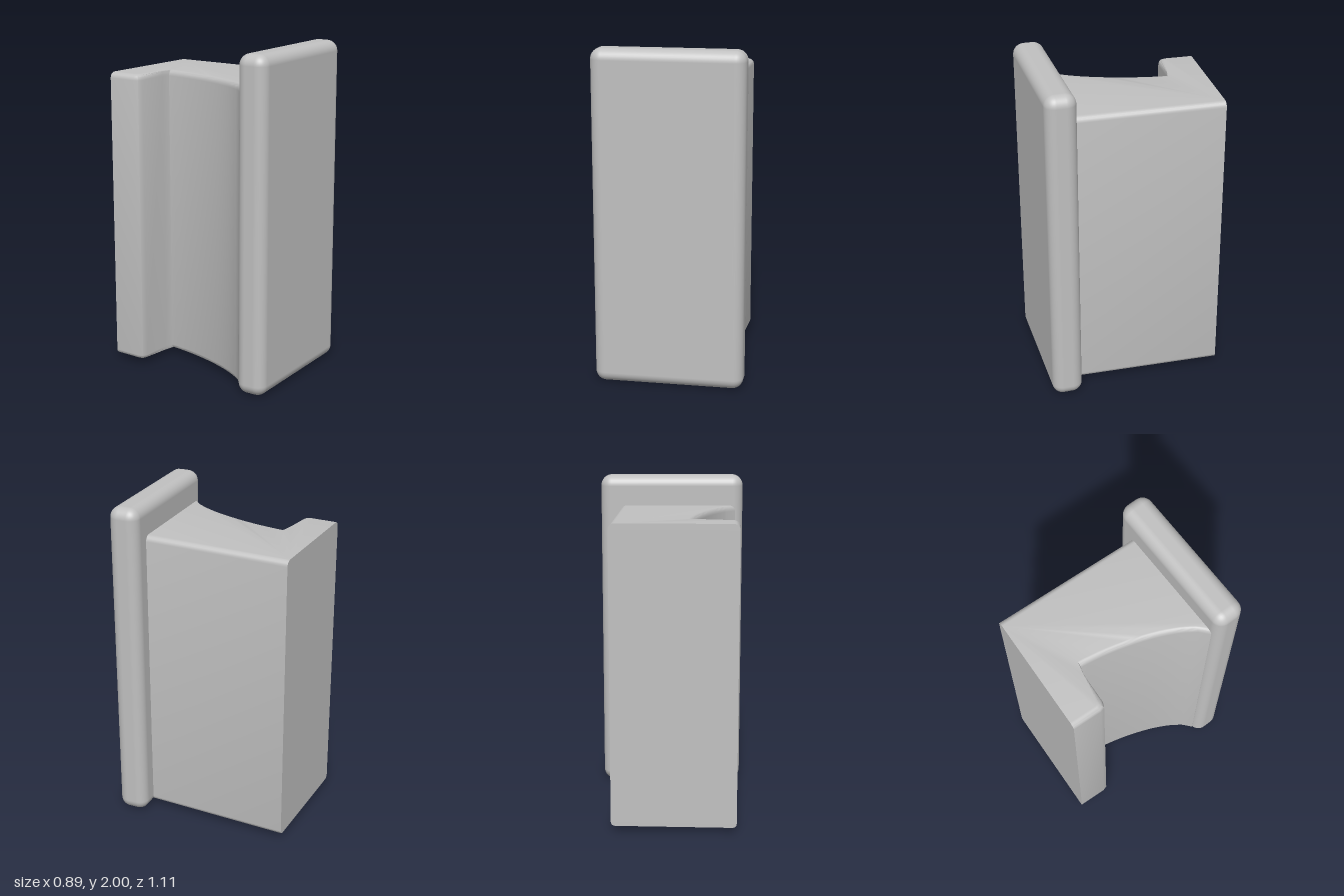
import * as THREE from 'three';
import { toCreasedNormals } from 'three/addons/utils/BufferGeometryUtils.js';
import { RoundedBoxGeometry } from 'three/addons/geometries/RoundedBoxGeometry.js';

const scoop = new THREE.CatmullRomCurve3([
  [-0.153, -0.328], [-0.168, -0.2], [-0.2, -0.04], [-0.25, 0.125], [-0.3, 0.24], [-0.348, 0.32],
].map(([x, z]) => new THREE.Vector3(x, 0, z)));

// Plan outline (x, z) of the body, with every edge but the back drawn in by d
function outline(d) {
  return [
    [-0.425 + d, -0.555], [-0.425 + d, -0.38 - d * 0.4], [-0.415 + d * 0.8, -0.352 - d * 0.8],
    [-0.385 + d * 0.5, -0.34 - d], [-0.2, -0.34 - d * 0.1],
    ...scoop.getPoints(16).map((p) => [p.x + d * 0.8, p.z]),
    [-0.4 + d, 0.37], [-0.39 + d, 0.41], [0.315 - d, 0.39], [0.315 - d, -0.555],
  ];
}

// Closed solid lofted through the outline, with rounded upper and lower edges
function bodyGeometry(bottom, top, rBottom, rTop) {
  const steps = 5;
  const levels = [];
  for (let i = 0; i <= steps; i++) {
    const a = (i / steps) * Math.PI / 2;
    levels.push([bottom + rBottom * (1 - Math.sin(a)), rBottom * (1 - Math.cos(a))]);
  }
  levels.reverse();
  for (let i = 0; i <= steps; i++) {
    const a = (i / steps) * Math.PI / 2;
    levels.push([top - rTop * (1 - Math.sin(a)), rTop * (1 - Math.cos(a))]);
  }
  // lower levels run from the floor edge upward
  const lower = levels.slice(0, steps + 1).sort((a, b) => a[0] - b[0]);
  const rings = [...lower, ...levels.slice(steps + 1)].map(([y, d]) => outline(d).map(([x, z]) => [x, y, z]));
  const n = rings[0].length;
  const index = [];
  for (let r = 0; r < rings.length - 1; r++) {
    for (let i = 0; i < n; i++) {
      const j = (i + 1) % n;
      const a = r * n + i, b = r * n + j, c = b + n, e = a + n;
      index.push(a, b, c, a, c, e);
    }
  }
  const cap = (ring) => THREE.ShapeUtils.triangulateShape(ring.map(([x, , z]) => new THREE.Vector2(x, -z)), []);
  const last = (rings.length - 1) * n;
  cap(rings[0]).forEach(([a, b, c]) => index.push(a, c, b));
  cap(rings[rings.length - 1]).forEach(([a, b, c]) => index.push(last + a, last + b, last + c));
  const geometry = new THREE.BufferGeometry();
  geometry.setAttribute('position', new THREE.Float32BufferAttribute(rings.flat(2), 3));
  geometry.setIndex(index);
  return toCreasedNormals(geometry, 0.6);
}

export function createModel() {
  const group = new THREE.Group();
  const grey = new THREE.MeshStandardMaterial({ color: 0xc0c0c0 });
  grey.name = 'light grey';

  // Block with the hollowed side and rear lip
  const body = new THREE.Mesh(bodyGeometry(0.03, 1.815, 0.025, 0.035), grey);
  body.name = 'body';

  // Slightly turned front plate
  const panel = new THREE.Mesh(new RoundedBoxGeometry(0.89, 2, 0.185, 5, 0.065), grey);
  panel.name = 'frontPanel';
  panel.position.set(0, 1, 0.4425);
  panel.rotation.y = 0.05;

  group.add(body, panel);
  return group;
}
